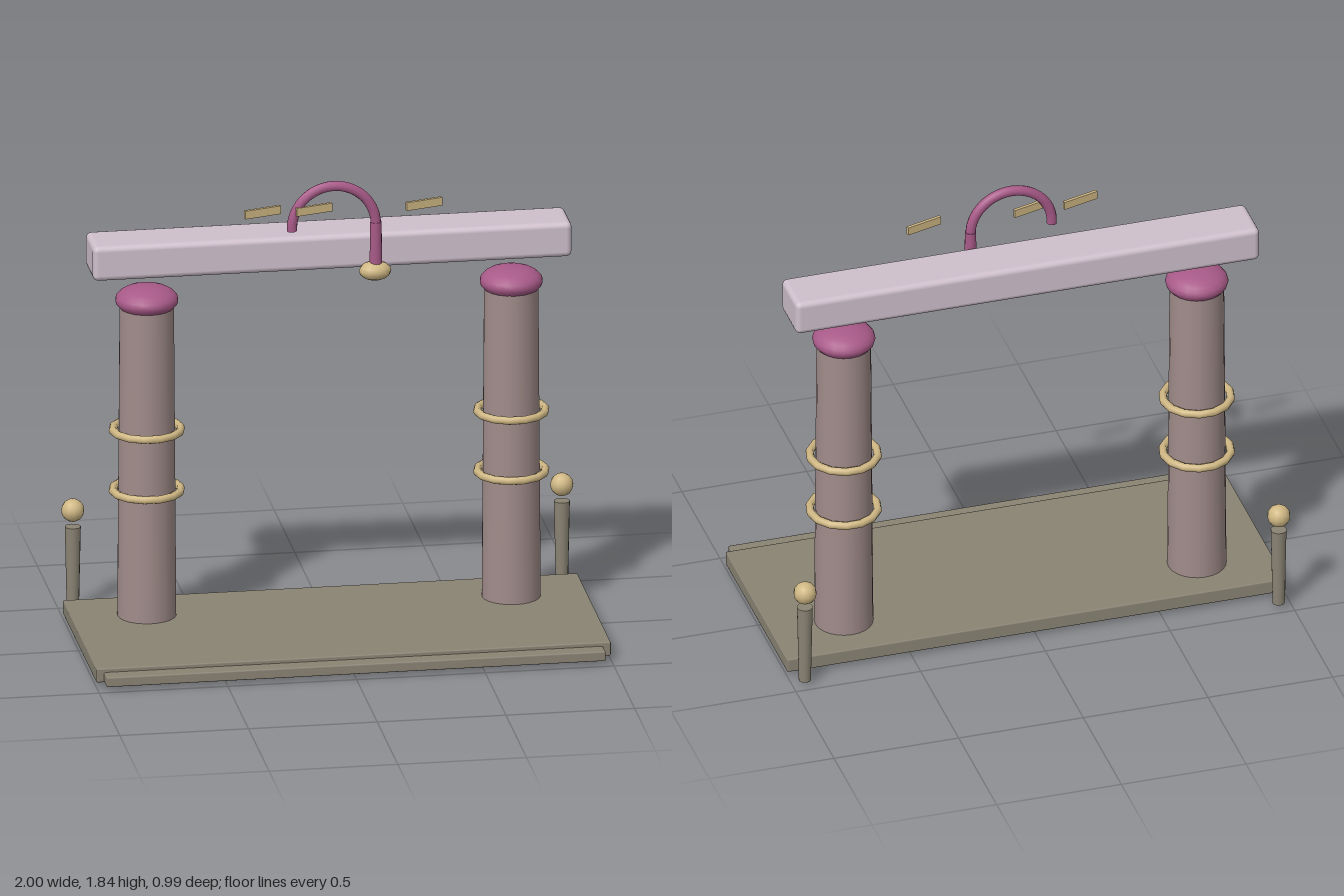
import * as THREE from 'three';
import { RoundedBoxGeometry } from 'three/addons/geometries/RoundedBoxGeometry.js';

const mat = (color) => new THREE.MeshStandardMaterial({ color });

export function createModel() {
  const model = new THREE.Group();
  const stone = mat(0x8a8474), pillarMat = mat(0xa08c8a), beamMat = mat(0xcfc0cc);
  const purple = mat(0xa85a88), gold = mat(0xd0b884);

  const add = (name, geometry, material, x, y, z) => {
    const mesh = new THREE.Mesh(geometry, material);
    mesh.name = name;
    mesh.position.set(x, y, z);
    model.add(mesh);
    return mesh;
  };
  const ellipsoid = (rx, ry, rz, w, h) => new THREE.SphereGeometry(1, w, h).scale(rx, ry, rz);

  // Platform with a lower front step
  add('platform', new RoundedBoxGeometry(2, 0.057, 0.815, 1, 0.006), stone, 0, 0.0485, 0.0225);
  add('frontStep', new RoundedBoxGeometry(1.94, 0.04, 0.09, 1, 0.006), stone, 0, 0.041, 0.447);

  for (const [side, s] of [['left', 1], ['right', -1]]) {
    // Pillar with rounded foot, cap and two rings
    const px = 0.708 * s, pz = -0.17;
    add(side + 'Pillar', new THREE.CylinderGeometry(0.105, 0.114, 1.28, 24), pillarMat, px, 0.69, pz);
    add(side + 'PillarFoot', ellipsoid(0.105, 0.06, 0.105, 20, 12), purple, px, 0.063, pz);
    add(side + 'PillarCap', ellipsoid(0.122, 0.058, 0.122, 20, 12), purple, px, 1.356, pz);
    for (const y of [0.585, 0.83]) {
      add(side + 'PillarRing', new THREE.TorusGeometry(0.132, 0.016, 8, 14).rotateX(Math.PI / 2), gold, px, y, pz);
    }
    // Small back post with a ball finial
    add(side + 'Post', new THREE.CylinderGeometry(0.031, 0.024, 0.33, 12), stone, 0.95 * s, 0.185, -0.452);
    add(side + 'PostBall', ellipsoid(0.045, 0.045, 0.045, 12, 8), gold, 0.95 * s, 0.415, -0.455);
  }

  // Crossbeam
  add('beam', new RoundedBoxGeometry(1.86, 0.14, 0.205, 2, 0.022), beamMat, 0, 1.54, -0.175);

  // Hooked handle: arch, straight shank and knob
  add('hookArch', new THREE.TorusGeometry(0.163, 0.02, 10, 28, Math.PI * 1.02), purple, 0, 1.656, -0.05);
  const end = Math.PI * 1.02;
  const tip = add('hookTip', new THREE.CircleGeometry(0.02, 10).rotateX(Math.PI / 2), purple,
    0.163 * Math.cos(end), 1.656 + 0.163 * Math.sin(end), -0.05);
  tip.rotation.z = end - Math.PI;
  add('hookShank', new THREE.CylinderGeometry(0.022, 0.025, 0.19, 12), purple, 0.163, 1.57, -0.05);
  add('hookKnob', ellipsoid(0.063, 0.038, 0.047, 12, 8), gold, 0.16, 1.467, -0.05);

  // Three slanted plaques above the beam
  for (const x of [-0.277, -0.078, 0.35]) {
    add('plaque', new THREE.BoxGeometry(0.15, 0.033, 0.013), gold, x, 1.728, -0.05).rotation.y = 0.28;
  }
  return model;
}
